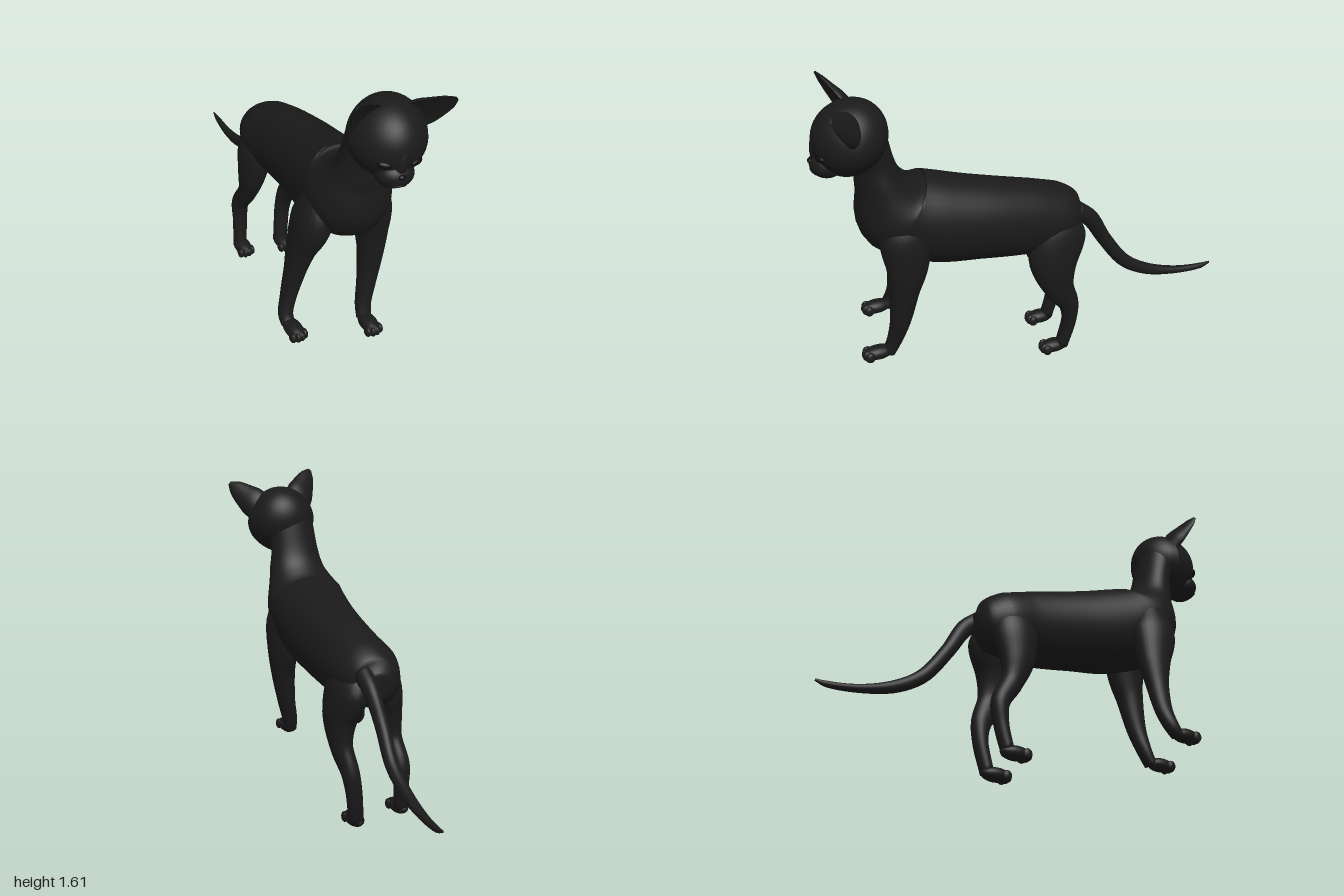
import * as THREE from 'three';

const YAW = -0.3; // the animal stands turned slightly towards its right
const SIDE = new THREE.Vector3(Math.cos(YAW), 0, -Math.sin(YAW));

const coat = new THREE.MeshStandardMaterial({ color: 0x1a1a1a });
const dark = new THREE.MeshStandardMaterial({ color: 0x0b0b0b });

// Smooth closed skin through oval rings [x, y, z, halfWidth, halfDepth]
function loft(name, rings, { side = SIDE, steps = 36, sides = 28, dish = 1 } = {}) {
  const path = new THREE.CatmullRomCurve3(rings.map(r => new THREE.Vector3(r[0], r[1], r[2])));
  const size = new THREE.CatmullRomCurve3(rings.map(r => new THREE.Vector3(r[3], r[4], 0)));
  const pos = [], idx = [];
  for (let i = 0; i <= steps; i++) {
    const c = path.getPoint(i / steps), s = size.getPoint(i / steps);
    const t = path.getTangent(i / steps);
    const l = side.clone().addScaledVector(t, -side.dot(t)).normalize();
    const u = t.clone().cross(l);
    for (let j = 0; j < sides; j++) {
      const a = j / sides * Math.PI * 2, sn = Math.sin(a);
      const p = c.clone().addScaledVector(l, Math.cos(a) * s.x)
        .addScaledVector(u, sn * s.y * (sn < 0 ? dish : 1));
      pos.push(p.x, p.y, p.z);
      if (i < steps) {
        const k = (j + 1) % sides, p0 = i * sides, p1 = p0 + sides;
        idx.push(p0 + j, p0 + k, p1 + k, p0 + j, p1 + k, p1 + j);
      }
    }
  }
  // end caps
  const n = pos.length / 3, last = steps * sides;
  const a = path.getPoint(0), b = path.getPoint(1);
  pos.push(a.x, a.y, a.z, b.x, b.y, b.z);
  for (let j = 0; j < sides; j++) {
    const k = (j + 1) % sides;
    idx.push(n, k, j, n + 1, last + j, last + k);
  }
  const g = new THREE.BufferGeometry();
  g.setAttribute('position', new THREE.Float32BufferAttribute(pos, 3));
  g.setIndex(idx);
  g.computeVertexNormals();
  const mesh = new THREE.Mesh(g, coat);
  mesh.name = name;
  return mesh;
}

function blob(name, [x, y, z], [sx, sy, sz], material = coat) {
  const m = new THREE.Mesh(new THREE.SphereGeometry(1, 28, 20), material);
  m.name = name;
  m.position.set(x, y, z);
  m.scale.set(sx, sy, sz);
  return m;
}

// Paw with four rounded toes, pointing forwards from the ankle
function paw(name, x, y, z, yaw) {
  const g = new THREE.Group();
  g.name = name;
  g.position.set(x, y, z);
  g.rotation.y = yaw;
  g.add(blob('pad', [0, 0, 0], [0.042, 0.035, 0.075]));
  for (let i = 0; i < 4; i++) {
    const s = i - 1.5;
    g.add(blob('toe', [s * 0.021, -0.005, 0.06 - Math.abs(s) * 0.009], [0.015, 0.027, 0.024]));
  }
  return g;
}

function buildHead() {
  const head = new THREE.Group();
  head.name = 'head';
  head.position.set(-0.13, 1.36, 0.8);
  head.rotation.set(0, -0.4, -0.12, 'YXZ');

  // skull: wide at the cheeks, tapering to the chin, flatter on top
  const g = new THREE.SphereGeometry(1, 40, 28);
  const p = g.attributes.position;
  for (let i = 0; i < p.count; i++) {
    const x = p.getX(i), y = p.getY(i), z = p.getZ(i);
    const w = y < 0 ? 1 - 0.22 * y * y : 1 - 0.06 * y;
    const front = Math.max(z, 0);
    p.setXYZ(i, x * 0.178 * w * (1 - 0.1 * front), y * 0.178, z * 0.17 - y * 0.02 * (1 - front));
  }
  g.computeVertexNormals();
  const skull = new THREE.Mesh(g, coat);
  skull.name = 'skull';
  head.add(skull);

  head.add(blob('muzzle', [0, -0.11, 0.105], [0.088, 0.065, 0.078]));
  head.add(blob('noseBridge', [0, -0.035, 0.135], [0.032, 0.085, 0.042]));
  head.add(blob('nose', [0, -0.092, 0.175], [0.018, 0.012, 0.014], dark));
  const lip = new THREE.CatmullRomCurve3([[-0.07, -0.142, 0.12], [-0.035, -0.143, 0.16],
    [0, -0.135, 0.176], [0.035, -0.143, 0.16], [0.07, -0.142, 0.12]].map(v => new THREE.Vector3(...v)));
  const mouth = new THREE.Mesh(new THREE.TubeGeometry(lip, 24, 0.005, 8), coat);
  mouth.name = 'mouth';
  head.add(mouth);

  for (const s of [-1, 1]) {
    const eye = blob('eye', [s * 0.073, -0.045, 0.142], [0.033, 0.016, 0.015], dark);
    eye.rotation.set(0, s * 0.4, s * 0.1);
    head.add(eye);
    // cupped ear, hollow towards the front
    const ear = loft('ear', [
      [0.085, 0.05, -0.02, 0.075, 0.05], [0.125, 0.11, 0.025, 0.078, 0.05],
      [0.165, 0.155, 0.06, 0.062, 0.035], [0.2, 0.195, 0.09, 0.04, 0.02],
      [0.222, 0.22, 0.108, 0.012, 0.007],
    ], { side: new THREE.Vector3(0.7, -0.7, 0), steps: 20, dish: -0.25 });
    ear.scale.x = s;
    head.add(ear);
  }
  return head;
}

export function createModel() {
  const cat = new THREE.Group();
  cat.name = 'cat';

  // rump, barrel, chest and neck in one skin
  cat.add(loft('body', [
    [0.17, 0.74, -0.31, 0.05, 0.06], [0.15, 0.745, -0.27, 0.12, 0.125],
    [0.125, 0.765, -0.18, 0.16, 0.165], [0.095, 0.79, -0.03, 0.165, 0.19],
    [0.03, 0.835, 0.2, 0.18, 0.205], [-0.05, 0.88, 0.42, 0.195, 0.22],
    [-0.115, 0.95, 0.58, 0.2, 0.21], [-0.125, 1.1, 0.66, 0.15, 0.118],
    [-0.13, 1.23, 0.69, 0.125, 0.09], [-0.13, 1.4, 0.745, 0.125, 0.1],
    [-0.13, 1.48, 0.79, 0.06, 0.05],
  ], { steps: 60, sides: 40 }));

  cat.add(loft('tail', [
    [0.21, 0.8, -0.24, 0.045, 0.05], [0.23, 0.74, -0.32, 0.038, 0.043],
    [0.245, 0.6, -0.41, 0.033, 0.036], [0.285, 0.45, -0.52, 0.031, 0.034],
    [0.325, 0.37, -0.65, 0.028, 0.03], [0.38, 0.33, -0.81, 0.022, 0.02],
    [0.43, 0.325, -0.95, 0.013, 0.015], [0.445, 0.335, -1.0, 0.004, 0.006],
  ]));

  cat.add(loft('leftFrontLeg', [
    [-0.02, 0.99, 0.58, 0.05, 0.06], [0, 0.85, 0.615, 0.09, 0.125],
    [0.01, 0.7, 0.622, 0.077, 0.1], [0.0, 0.58, 0.637, 0.063, 0.073],
    [-0.03, 0.4, 0.65, 0.047, 0.05], [-0.065, 0.28, 0.668, 0.04, 0.036],
    [-0.08, 0.22, 0.69, 0.037, 0.03],
  ]));
  cat.add(paw('leftFrontPaw', -0.1, 0.225, 0.74, -0.3));

  cat.add(loft('rightFrontLeg', [
    [-0.24, 0.98, 0.52, 0.05, 0.06], [-0.27, 0.82, 0.51, 0.085, 0.12],
    [-0.297, 0.66, 0.475, 0.065, 0.088], [-0.322, 0.52, 0.46, 0.05, 0.06],
    [-0.36, 0.37, 0.455, 0.038, 0.045], [-0.39, 0.29, 0.47, 0.036, 0.036],
    [-0.4, 0.25, 0.5, 0.034, 0.03],
  ]));
  cat.add(paw('rightFrontPaw', -0.41, 0.257, 0.545, -0.25));

  cat.add(loft('leftHindLeg', [
    [0.18, 0.82, -0.16, 0.06, 0.09], [0.205, 0.7, -0.125, 0.088, 0.155],
    [0.225, 0.56, -0.095, 0.077, 0.125], [0.24, 0.42, -0.12, 0.052, 0.078],
    [0.24, 0.3, -0.185, 0.044, 0.052], [0.23, 0.2, -0.2, 0.041, 0.038],
    [0.2, 0.04, -0.18, 0.038, 0.033],
  ]));
  cat.add(paw('leftHindPaw', 0.18, 0.035, -0.145, -0.3));

  cat.add(loft('rightHindLeg', [
    [0.06, 0.82, -0.19, 0.06, 0.08], [0.025, 0.69, -0.185, 0.08, 0.115],
    [0.0, 0.55, -0.19, 0.062, 0.09], [0.0, 0.43, -0.22, 0.046, 0.056],
    [0.007, 0.31, -0.288, 0.044, 0.046], [0, 0.2, -0.285, 0.038, 0.036],
    [-0.02, 0.08, -0.265, 0.036, 0.032],
  ]));
  cat.add(paw('rightHindPaw', -0.035, 0.07, -0.23, -0.3));

  cat.add(buildHead());
  return cat;
}
